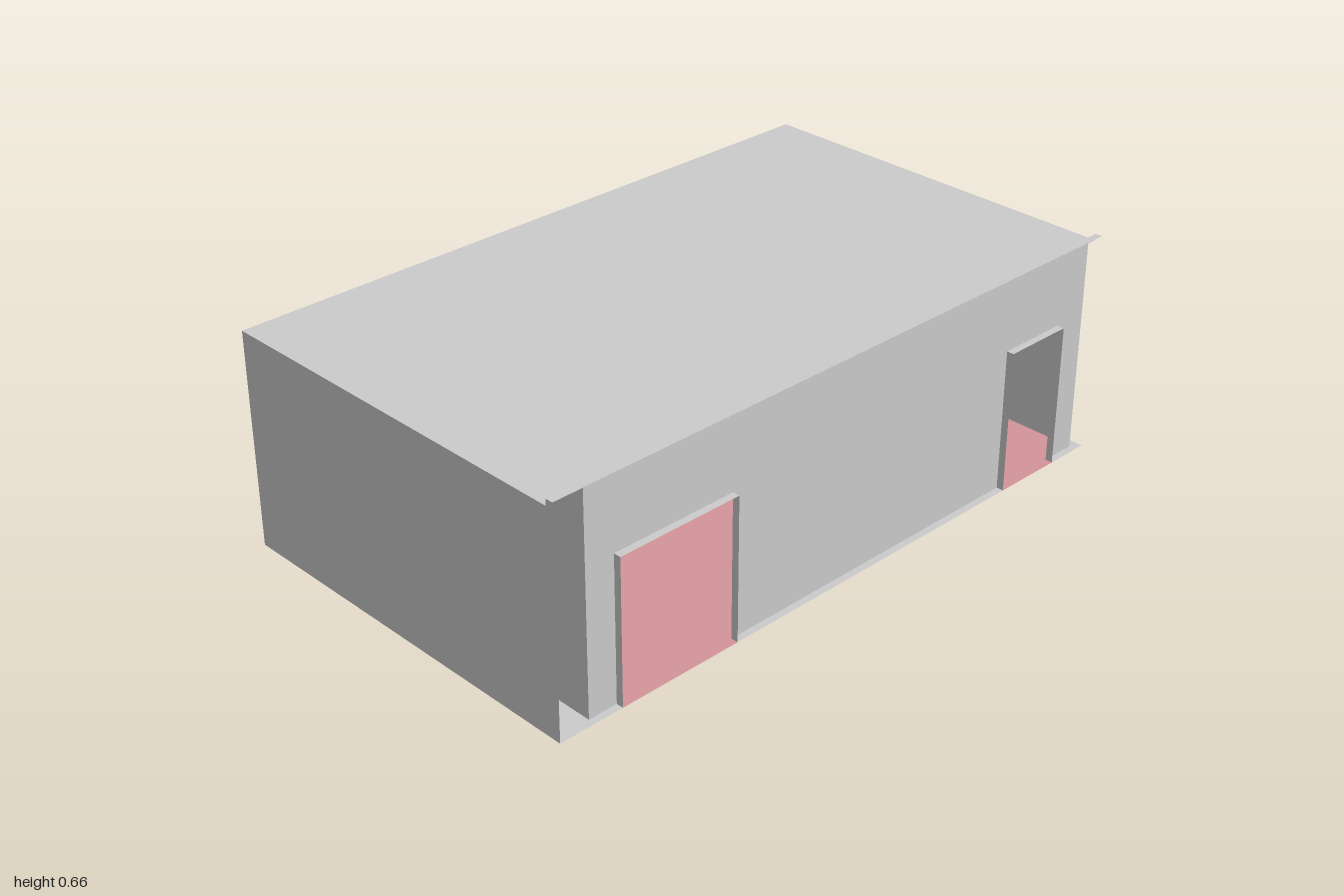
import * as THREE from 'three';

const grey = new THREE.MeshStandardMaterial({ color: 0xcccccc, side: THREE.DoubleSide });
const pink = new THREE.MeshStandardMaterial({ color: 0xd3949a, side: THREE.DoubleSide });

// Outer shell and inner room limits
const OUT = { x0: -0.6, x1: 0.6, z0: -1, z1: 1 };
const ROOM = { x0: -0.49, x1: 0.578, z0: -0.97, z1: 0.89 };
const H = 0.645, LIP = 0.664, DOOR = 0.43;
const WIDE = [0.41, 0.8], NARROW = [-0.86, -0.64]; // doorway z ranges

export function createModel() {
  const model = new THREE.Group();

  const add = (name, geometry, material = grey) => {
    const mesh = new THREE.Mesh(geometry, material);
    mesh.name = name;
    model.add(mesh);
  };

  // Horizontal sheet at height y
  const sheet = (name, x0, x1, z0, z1, y, material) =>
    add(name, new THREE.PlaneGeometry(x1 - x0, z1 - z0).rotateX(y > 0 ? -Math.PI / 2 : Math.PI / 2)
      .translate((x0 + x1) / 2, y, (z0 + z1) / 2), material);

  const outline = (points) => new THREE.Shape(points.map(([a, b]) => new THREE.Vector2(a, b)));

  // Wall across x at depth z
  const crossWall = (name, z, points) =>
    add(name, new THREE.ShapeGeometry(outline(points)).translate(0, 0, z));

  // Wall along z at position x, with doorways cut up from the floor
  const longWall = (name, x, z0, z1, top, doors) => {
    const points = [[z0, 0]];
    for (const [a, b] of doors) points.push([a, 0], [a, DOOR], [b, DOOR], [b, 0]);
    points.push([z1, 0], [z1, top], [z0, top]);
    add(name, new THREE.ShapeGeometry(outline(points)).rotateY(-Math.PI / 2).translate(x, 0, 0));
  };

  // Jambs, lintel and threshold spanning a wall cavity
  const doorway = (name, x0, x1, [a, b]) => {
    for (const z of [a, b])
      crossWall(name + 'Jamb', z, [[x0, 0], [x1, 0], [x1, DOOR], [x0, DOOR]]);
    sheet(name + 'Lintel', x0, x1, a, b, DOOR);
    sheet(name + 'Threshold', x0, x1, a, b, 0, pink);
  };

  // Outer walls
  crossWall('frontOuterWall', OUT.z1, [[OUT.x0, 0], [OUT.x1, 0], [OUT.x1, LIP],
    [ROOM.x1, LIP], [ROOM.x1, H], [OUT.x0, H]]);
  longWall('rightOuterWall', OUT.x0, OUT.z0, OUT.z1, H, [NARROW]);

  // Inner room walls
  const inner = [[ROOM.x0, 0], [ROOM.x1, 0], [ROOM.x1, H], [ROOM.x0, H]];
  crossWall('frontInnerWall', ROOM.z1, inner);
  crossWall('backWall', ROOM.z0, inner);
  longWall('rightInnerWall', ROOM.x0, ROOM.z0, ROOM.z1, H, [NARROW]);
  longWall('leftWall', ROOM.x1, ROOM.z0, ROOM.z1, H, [NARROW, WIDE]);

  // Doorways
  doorway('rightDoor', OUT.x0, ROOM.x0, NARROW);
  doorway('leftNarrowDoor', ROOM.x1, OUT.x1, NARROW);
  doorway('leftWideDoor', ROOM.x1, OUT.x1, WIDE);

  // Roof with its raised lip along the left edge
  sheet('roof', OUT.x0, ROOM.x1, OUT.z0, OUT.z1, H);
  sheet('roofLip', ROOM.x1, OUT.x1, OUT.z0, OUT.z1, LIP);
  add('roofLipRiser', new THREE.PlaneGeometry(2, LIP - H).rotateY(-Math.PI / 2)
    .translate(ROOM.x1, (LIP + H) / 2, 0));

  // Room floor and the grey border strips beneath the wall cavities
  sheet('roomFloor', ROOM.x0, ROOM.x1, ROOM.z0, ROOM.z1, 0, pink);
  sheet('floorBorder', OUT.x0, OUT.x1, ROOM.z1, OUT.z1, 0);
  sheet('floorBorder', OUT.x0, OUT.x1, OUT.z0, ROOM.z0, 0);
  for (const [a, b] of [[ROOM.z0, NARROW[0]], [NARROW[1], ROOM.z1]])
    sheet('floorBorder', OUT.x0, ROOM.x0, a, b, 0);
  for (const [a, b] of [[ROOM.z0, NARROW[0]], [NARROW[1], WIDE[0]], [WIDE[1], ROOM.z1]])
    sheet('floorBorder', ROOM.x1, OUT.x1, a, b, 0);

  return model;
}
